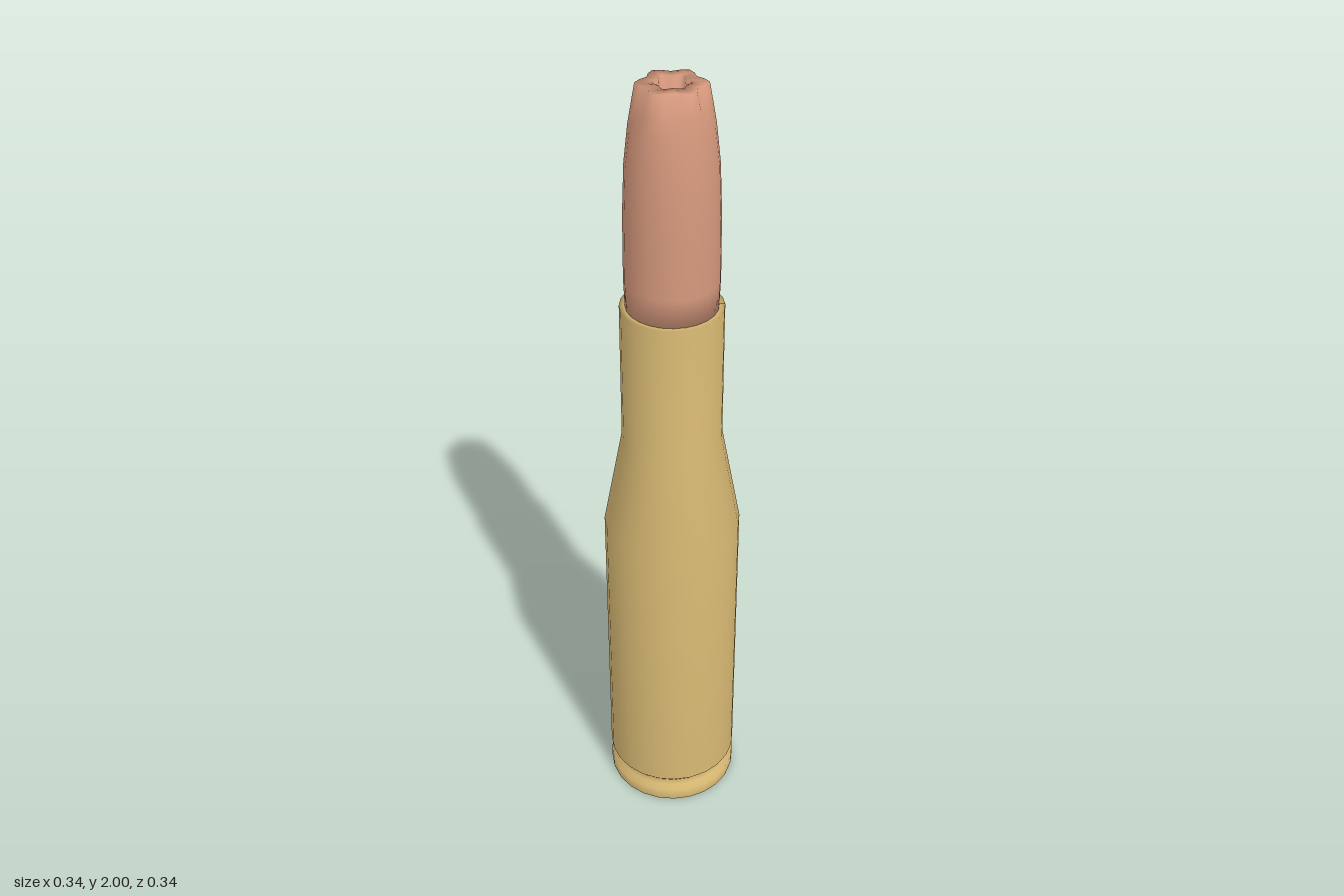
import * as THREE from 'three';

const SIDES = 24;

// Stack of rings [y, radius, lobe depth]; six lobes run around the axis.
function lobedRings(rings) {
  const pos = [], index = [];
  for (const [y, r, lobe] of rings) {
    for (let i = 0; i < SIDES; i++) {
      const a = (i / SIDES) * Math.PI * 2;
      const rr = r + lobe * Math.cos(6 * a);
      pos.push(rr * Math.cos(a), y, -rr * Math.sin(a));
    }
  }
  for (let k = 0; k < rings.length - 1; k++) {
    for (let i = 0; i < SIDES; i++) {
      const j = (i + 1) % SIDES;
      const a = k * SIDES + i, b = k * SIDES + j;
      index.push(a, b, b + SIDES, a, b + SIDES, a + SIDES);
    }
  }
  // Close both ends with a centre point.
  const n = rings.length, low = n * SIDES, high = low + 1, last = (n - 1) * SIDES;
  pos.push(0, rings[0][0], 0, 0, rings[n - 1][0], 0);
  for (let i = 0; i < SIDES; i++) {
    const j = (i + 1) % SIDES;
    index.push(low, j, i, high, last + i, last + j);
  }
  const g = new THREE.BufferGeometry();
  g.setAttribute('position', new THREE.Float32BufferAttribute(pos, 3));
  g.setIndex(index);
  g.computeVertexNormals();
  return g;
}

function lathe(points) {
  return new THREE.LatheGeometry(points.map(([r, y]) => new THREE.Vector2(r, y)), SIDES);
}

export function createModel() {
  const brass = new THREE.MeshStandardMaterial({ color: 0xd9ba74 });
  brass.name = 'brass';
  const copper = new THREE.MeshStandardMaterial({ color: 0xd6997d });
  copper.name = 'copper';

  const model = new THREE.Group();
  model.name = 'cartridge';
  const add = (name, geometry, material) => {
    const mesh = new THREE.Mesh(geometry, material);
    mesh.name = name;
    model.add(mesh);
  };

  // Flat base, rim and the groove above it
  add('base', lathe([[0, 0], [0.168, 0]]), brass);
  add('rim', lathe([[0.168, 0], [0.17, 0.008], [0.17, 0.035], [0.155, 0.042], [0.155, 0.062]]), brass);

  // Case body, sloped shoulder, neck and mouth lip
  add('case', lathe([
    [0.155, 0.062], [0.17, 0.08], [0.17, 0.86], [0.122, 1.12], [0.122, 1.47], [0.106, 1.47],
  ]), brass);

  // Bullet with a notched tip and a six-lobed hollow
  add('bullet', lobedRings([
    [1.46, 0.108, 0], [1.54, 0.111, 0], [1.7, 0.11, 0], [1.82, 0.105, 0], [1.91, 0.094, 0.001],
    [1.95, 0.085, 0.003], [2, 0.07, 0.009], [2, 0.038, 0.005], [1.9, 0.028, 0.003],
  ]), copper);

  return model;
}
